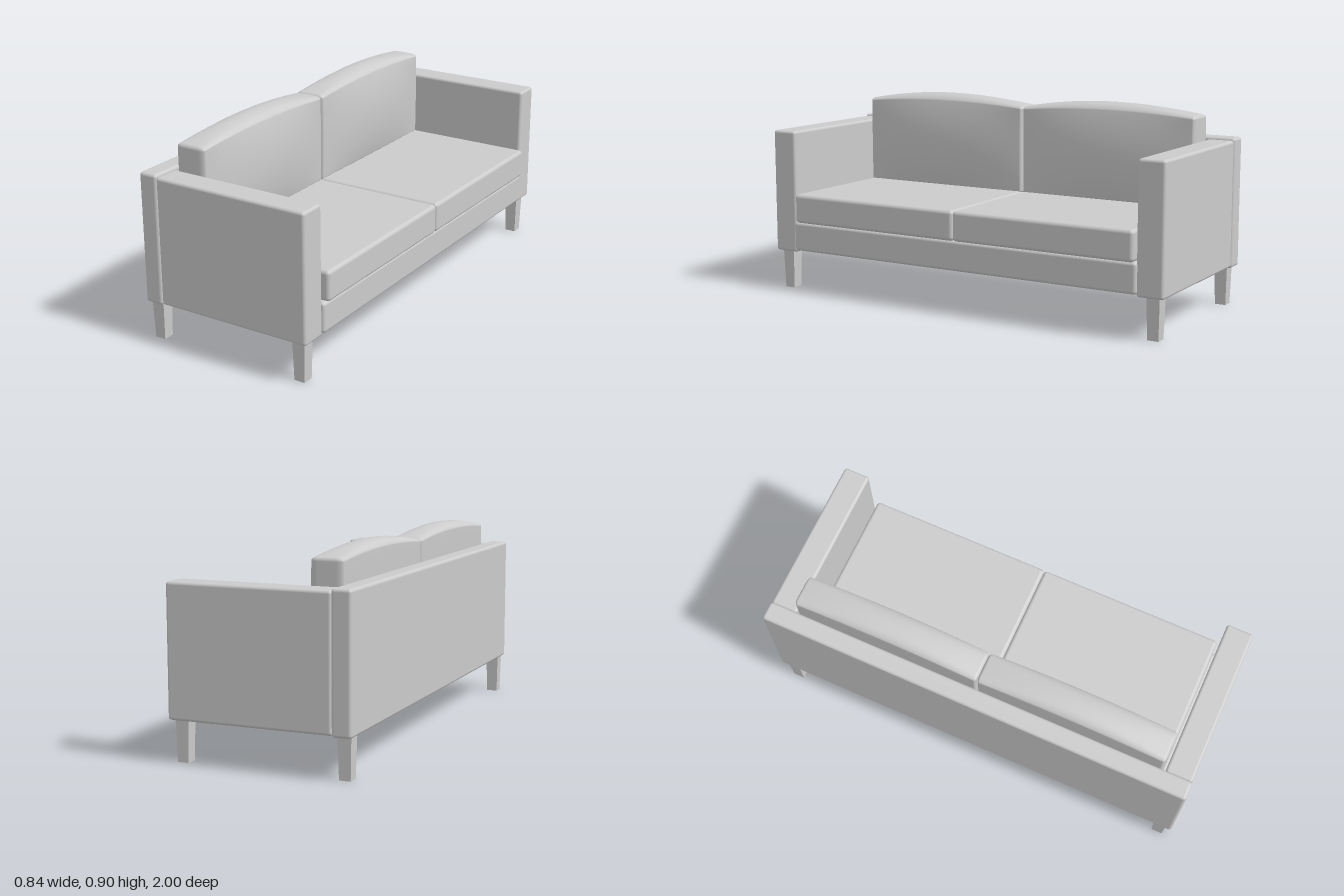
import * as THREE from 'three';
import { RoundedBoxGeometry } from 'three/addons/geometries/RoundedBoxGeometry.js';
import { mergeVertices } from 'three/addons/utils/BufferGeometryUtils.js';

const fabric = new THREE.MeshStandardMaterial({ color: 0xcccccc });
const legMaterial = new THREE.MeshStandardMaterial({ color: 0xcccccc, flatShading: true });

// Rounded block given by its [min, max] extents
function block(name, [x0, x1], [y0, y1], [z0, z1], radius) {
  const mesh = new THREE.Mesh(
    new RoundedBoxGeometry(x1 - x0, y1 - y0, z1 - z0, 4, radius), fabric);
  mesh.position.set((x0 + x1) / 2, (y0 + y1) / 2, (z0 + z1) / 2);
  mesh.name = name;
  return mesh;
}

// Back cushion: rounded block with a crowned top and a bulging front
function backCushionGeometry(width, height, length) {
  const n = 24, edge = 4;
  const half = new THREE.Vector3(width / 2, height / 2, length / 2);
  const radius = new THREE.Vector3(0.03, 0.014, 0.014);
  const inner = half.clone().sub(radius);

  let geo = new THREE.BoxGeometry(2, 2, 2, n, n, n);
  geo.deleteAttribute('uv');
  geo.deleteAttribute('normal');
  geo = mergeVertices(geo);
  const pos = geo.attributes.position;
  const p = new THREE.Vector3(), core = new THREE.Vector3(), dir = new THREE.Vector3();
  const flat = 1 - (2 * edge) / n; // share of the grid on the flat faces

  for (let i = 0; i < pos.count; i++) {
    p.fromBufferAttribute(pos, i);
    for (const a of ['x', 'y', 'z']) {
      const t = Math.abs(p[a]), s = Math.sign(p[a]);
      core[a] = s * inner[a] * Math.min(t / flat, 1);
      dir[a] = s * Math.tan(Math.max(0, (t - flat) / (1 - flat)) * Math.PI / 4);
    }
    if (dir.lengthSq() > 0) dir.normalize();
    p.copy(core).addScaledVector(dir.multiply(radius), 1);

    const u = p.x / half.x, v = p.y / half.y, w = p.z / half.z;
    const along = Math.max(0, 1 - w * w);
    const rise = THREE.MathUtils.smoothstep(v, -1, 1);
    const y = p.y + rise * along * (0.022 + 0.018 * (1 - u * u));
    const x = p.x + (u + 1) / 2 * 0.028 * along * Math.max(0, 1 - v * v);
    pos.setXYZ(i, x, y, p.z);
  }
  geo.computeVertexNormals();
  return geo;
}

export function createModel() {
  const sofa = new THREE.Group();
  sofa.name = 'sofa';

  // Frame
  sofa.add(block('backPanel', [-0.42, -0.333], [0.175, 0.76], [-1, 1], 0.014));
  sofa.add(block('seatBase', [-0.345, 0.407], [0.19, 0.326], [-0.88, 0.88], 0.015));
  sofa.add(block('leftArm', [-0.335, 0.396], [0.18, 0.75], [-0.998, -0.875], 0.013));
  sofa.add(block('rightArm', [-0.335, 0.396], [0.18, 0.75], [0.875, 0.998], 0.013));

  // Cushions, one pair per seat
  const middle = -0.004, length = 0.867;
  const cushionGeo = backCushionGeometry(0.143, 0.41, length);
  for (const side of [-1, 1]) {
    const z = middle + side * length / 2;
    sofa.add(block('seatCushion', [-0.333, 0.42], [0.325, 0.46],
      [z - length / 2, z + length / 2], 0.017));
    const back = new THREE.Mesh(cushionGeo, fabric);
    back.name = 'backCushion';
    back.position.set(-0.26, 0.655, z);
    sofa.add(back);
  }

  // Square tapered legs
  const legGeo = new THREE.CylinderGeometry(0.06 / Math.SQRT2, 0.05 / Math.SQRT2, 0.19, 4);
  legGeo.rotateY(Math.PI / 4);
  for (const [name, x] of [['frontLeg', 0.344], ['backLeg', -0.379]]) {
    for (const z of [-0.943, 0.943]) {
      const leg = new THREE.Mesh(legGeo, legMaterial);
      leg.name = name;
      leg.position.set(x, 0.095, z);
      sofa.add(leg);
    }
  }
  return sofa;
}
